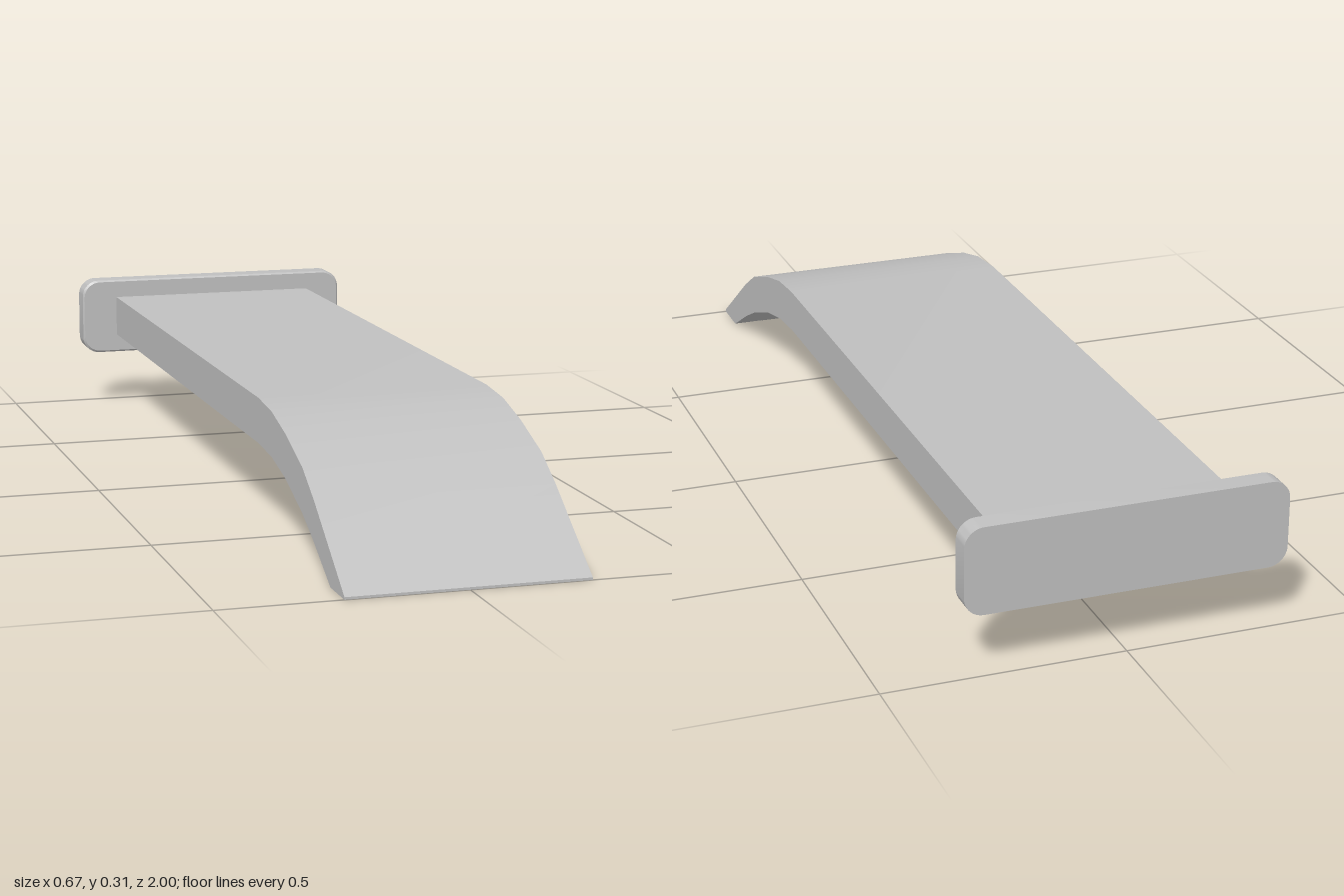
import * as THREE from 'three';
import { toCreasedNormals } from 'three/addons/utils/BufferGeometryUtils.js';

const HALF_WIDTH = 0.248;

// Side profile as [z, y] points: upper edge back to front, then lower edge front to back
const UPPER = [[-0.955, 0.268], [0.4, 0.268], [0.5, 0.259], [0.6, 0.234], [0.72, 0.192], [0.8, 0.144], [1, 0.005]];
const LOWER = [[1, 0], [0.91, 0], [0.8, 0.061], [0.72, 0.1], [0.6, 0.143], [0.5, 0.165], [0.4, 0.173], [-0.955, 0.173]];

// Curved spout: the profile swept across the width
function createSpout(material) {
  const shape = new THREE.Shape([...UPPER, ...LOWER].map(([z, y]) => new THREE.Vector2(z, y)));
  const geometry = new THREE.ExtrudeGeometry(shape, { depth: HALF_WIDTH * 2, bevelEnabled: false });
  geometry.rotateY(-Math.PI / 2).translate(HALF_WIDTH, 0, 0);
  const spout = new THREE.Mesh(toCreasedNormals(geometry, 0.4), material);
  spout.name = 'spout';
  return spout;
}

// Rounded wall plate with a fine chamfer around its front edge
function createWallPlate(material) {
  const w = 0.333, h = 0.091, r = 0.04, chamfer = 0.004, depth = 0.05;
  const shape = new THREE.Shape();
  shape.absarc(w - r, h - r, r, 0, Math.PI / 2);
  shape.absarc(r - w, h - r, r, Math.PI / 2, Math.PI);
  shape.absarc(r - w, r - h, r, Math.PI, Math.PI * 1.5);
  shape.absarc(w - r, r - h, r, Math.PI * 1.5, Math.PI * 2);
  const geometry = new THREE.ExtrudeGeometry(shape, { depth, steps: 2, bevelEnabled: false, curveSegments: 6 });
  const p = geometry.attributes.position;
  for (let i = 0; i < p.count; i++) {
    if (p.getZ(i) > depth * 0.75) {
      p.setX(i, p.getX(i) * (1 - chamfer / w));
      p.setY(i, p.getY(i) * (1 - chamfer / h));
    } else if (p.getZ(i) > depth * 0.25) {
      p.setZ(i, depth - chamfer);
    }
  }
  const plate = new THREE.Mesh(toCreasedNormals(geometry, 0.5), material);
  plate.name = 'wallPlate';
  plate.position.set(0, 0.22, -1);
  return plate;
}

// Tapered outlet panel following the underside behind the lip
function createOutlet(material) {
  const rows = LOWER.slice(1, 4);
  const halfWidths = [0.182, 0.13, 0.092];
  const geometry = new THREE.PlaneGeometry(1, 1, 1, 2).rotateX(Math.PI / 2);
  const p = geometry.attributes.position;
  rows.forEach(([z, y], i) => {
    p.setXYZ(i * 2, -halfWidths[i], y - 0.0015, z);
    p.setXYZ(i * 2 + 1, halfWidths[i], y - 0.0015, z);
  });
  // Keep the front edge of the panel above the base
  for (const i of [0, 1]) p.setXYZ(i, p.getX(i), 0.0015, 0.905);
  geometry.computeVertexNormals();
  const outlet = new THREE.Mesh(geometry, material);
  outlet.name = 'outletPanel';
  return outlet;
}

export function createModel() {
  const metal = new THREE.MeshStandardMaterial({ color: 0xc0c0c0 });
  metal.name = 'brushed metal grey';
  const model = new THREE.Group();
  model.name = 'waterSpout';
  model.add(createSpout(metal), createWallPlate(metal), createOutlet(metal));
  return model;
}
